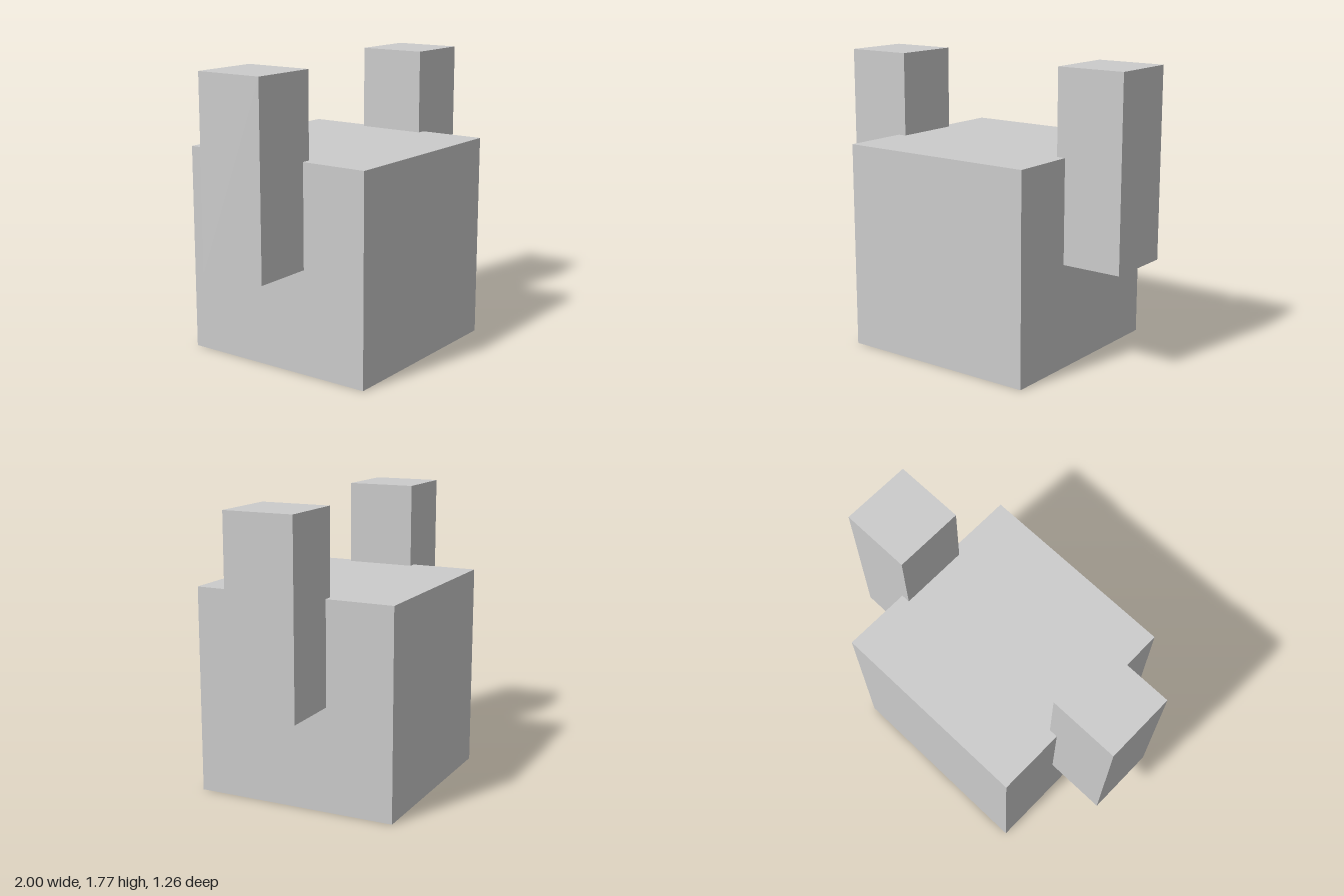
import * as THREE from 'three';

export function createModel() {
  const model = new THREE.Group();
  const material = new THREE.MeshStandardMaterial({ color: 0xcccccc, flatShading: true });

  // Adds a named box standing on height y
  function addBox(name, width, height, depth, x, y) {
    const mesh = new THREE.Mesh(new THREE.BoxGeometry(width, height, depth), material);
    mesh.name = name;
    mesh.position.set(x, y + height / 2, 0);
    model.add(mesh);
  }

  // Cube body
  addBox('body', 1.256, 1.26, 1.256, 0, 0);

  // Raised arms, sunk slightly into the sides of the body
  for (const [name, side] of [['leftArm', 1], ['rightArm', -1]]) {
    addBox(name, 0.426, 1.14, 0.426, side * 0.787, 0.633);
  }

  return model;
}
